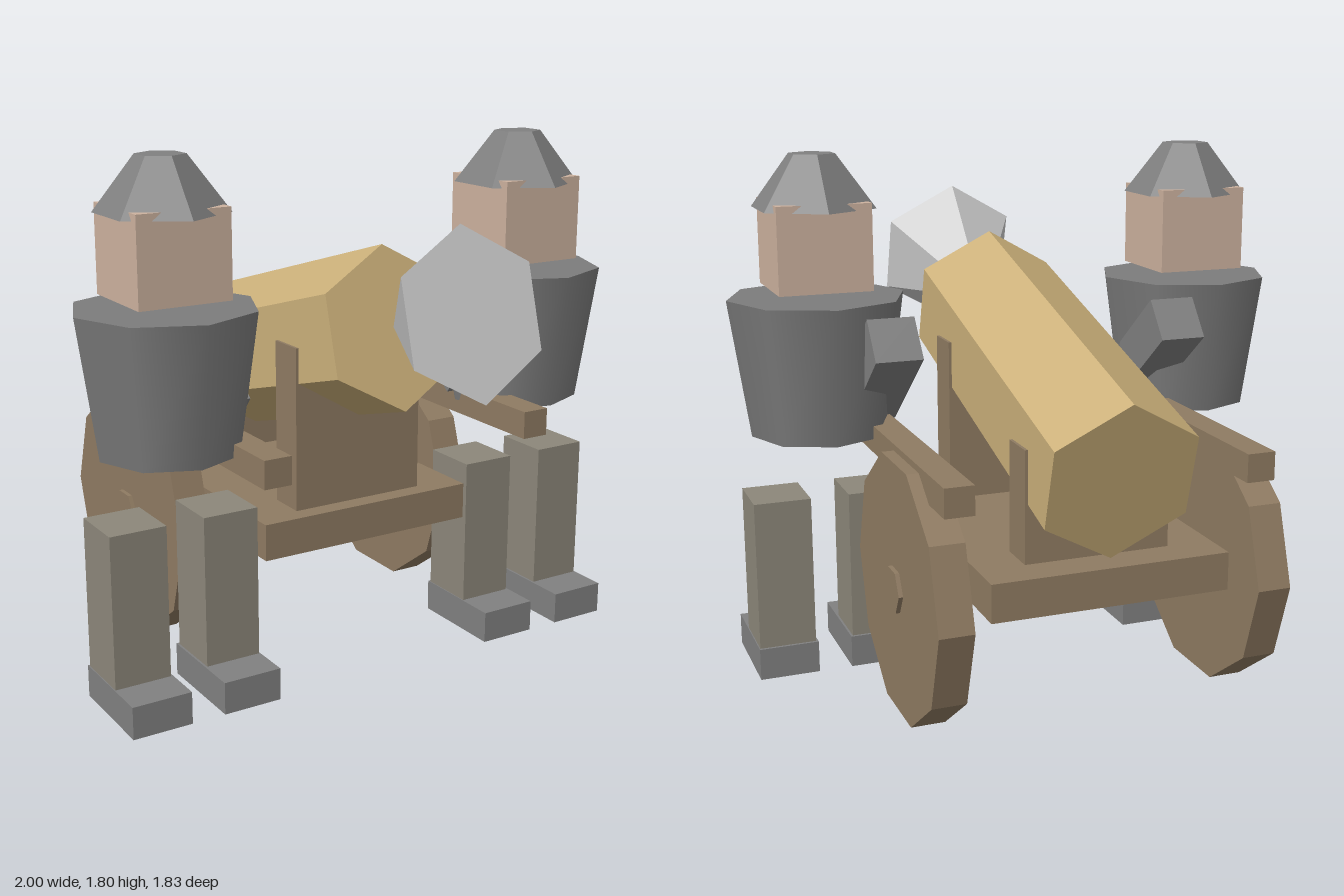
import * as THREE from 'three';

const mat = (color, flatShading = true) => new THREE.MeshStandardMaterial({ color, flatShading });
const wood = mat(0x8f7b62);
const brass = mat(0xcbb07a);
const pale = mat(0xcccccc);
const iron = mat(0x808080);
const tunic = mat(0x7c7c7c, false);
const skin = mat(0xcdb29f);
const cloth = mat(0x8c877a);

function add(parent, name, geometry, material, x, y, z) {
  const mesh = new THREE.Mesh(geometry, material);
  mesh.name = name;
  mesh.position.set(x, y, z);
  parent.add(mesh);
  return mesh;
}

// Box given by its extents on each axis
function block(parent, name, material, [x0, x1], [y0, y1], [z0, z1]) {
  return add(parent, name, new THREE.BoxGeometry(x1 - x0, y1 - y0, z1 - z0), material,
    (x0 + x1) / 2, (y0 + y1) / 2, (z0 + z1) / 2);
}

function createCannon() {
  const cannon = new THREE.Group();
  cannon.name = 'cannon';

  // Carriage bed and the two barrel supports
  block(cannon, 'carriageBed', wood, [-0.405, 0.405], [0.445, 0.572], [-0.79, 0.27]);
  block(cannon, 'frontSupport', wood, [-0.248, 0.248], [0.57, 1.14], [0.07, 0.205]);
  block(cannon, 'rearSupport', wood, [-0.248, 0.248], [0.57, 0.945], [-0.665, -0.53]);

  // Hexagonal barrel, muzzle raised, with the blast cone at its mouth
  const tilt = Math.PI / 2 - 0.278;
  add(cannon, 'barrel', new THREE.CylinderGeometry(0.275, 0.275, 1.305, 6), brass, 0, 1.041, -0.215)
    .rotation.x = tilt;
  add(cannon, 'muzzleBlast', new THREE.ConeGeometry(0.275, 0.44, 6), pale, 0, 1.284, 0.622)
    .rotation.x = tilt - Math.PI;

  // Axle, wheels and side handles
  add(cannon, 'axle', new THREE.CylinderGeometry(0.078, 0.078, 1.22, 6), wood, 0, 0.45, -0.415)
    .rotation.z = Math.PI / 2;
  for (const side of [-1, 1]) {
    add(cannon, 'wheel', new THREE.CylinderGeometry(0.445, 0.445, 0.115, 10), wood,
      side * 0.538, 0.45, -0.415).rotation.z = Math.PI / 2;
    add(cannon, 'handle', new THREE.BoxGeometry(0.097, 0.095, 1.335), wood, side * 0.506, 0.848, -0.133);
  }
  return cannon;
}

// One crew member; side is +1 for the model's left
function createGunner(side) {
  const gunner = new THREE.Group();
  gunner.name = side > 0 ? 'leftGunner' : 'rightGunner';
  gunner.position.set(side * 0.692, 0, 0.15);

  // Legs and feet
  for (const s of [-1, 1]) {
    add(gunner, 'leg', new THREE.BoxGeometry(0.197, 0.525, 0.207), cloth, s * 0.165, 0.373, 0.003);
    add(gunner, 'foot', new THREE.BoxGeometry(0.208, 0.112, 0.355), iron, s * 0.163, 0.056, 0.067);
  }

  // Body, head and helmet
  add(gunner, 'body', new THREE.CylinderGeometry(0.307, 0.24, 0.473, 8), tunic, 0, 1.085, 0);
  add(gunner, 'head', new THREE.BoxGeometry(0.32, 0.293, 0.312), skin, 0, 1.498, 0);
  add(gunner, 'helmet', new THREE.CylinderGeometry(0.081, 0.218, 0.18, 6), iron, 0, 1.71, 0);

  // Inner arm, slanting down towards the handle
  add(gunner, 'arm', new THREE.BoxGeometry(0.162, 0.16, 0.45), iron, -side * 0.18, 1.078, -0.152)
    .rotation.x = 0.67;
  return gunner;
}

export function createModel() {
  const model = new THREE.Group();
  model.name = 'cannonWithCrew';
  model.add(createCannon(), createGunner(1), createGunner(-1));
  return model;
}
